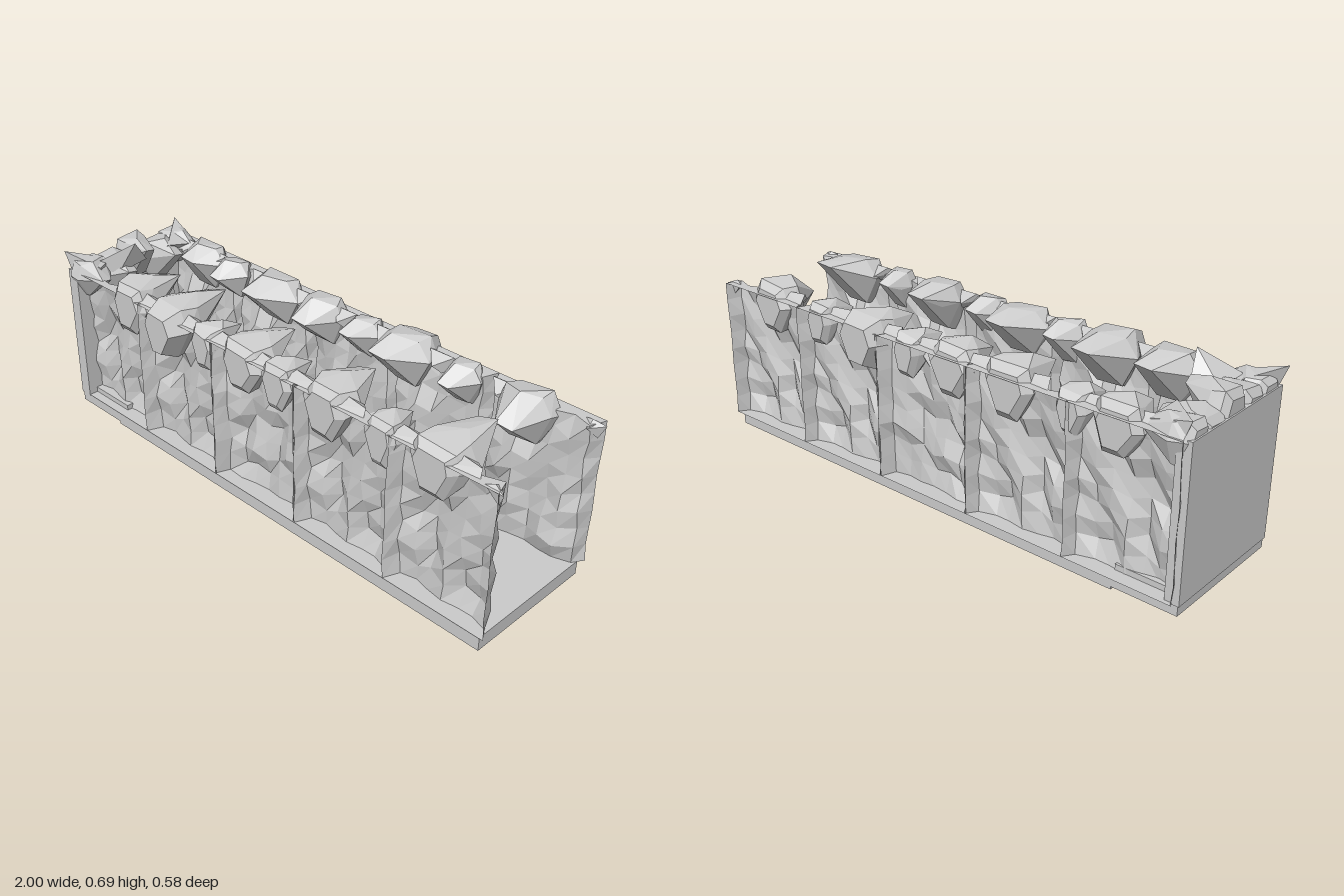
import * as THREE from 'three';
import { ConvexGeometry } from 'three/addons/geometries/ConvexGeometry.js';

const stone = new THREE.MeshStandardMaterial({ color: 0xcccccc, flatShading: true, side: THREE.DoubleSide });
const smooth = new THREE.MeshStandardMaterial({ color: 0xcccccc });

// Repeatable noise in -1..1
const noise = (a, b, c = 0) => {
  const s = Math.sin(a * 127.1 + b * 311.7 + c * 74.7) * 43758.5453;
  return (s - Math.floor(s)) * 2 - 1;
};

function add(parent, name, geometry, x = 0, y = 0, z = 0, material = stone) {
  const mesh = new THREE.Mesh(geometry, material);
  mesh.name = name;
  mesh.position.set(x, y, z);
  parent.add(mesh);
  return mesh;
}

function block(parent, name, x0, x1, y0, y1, z0, z1) {
  return add(parent, name, new THREE.BoxGeometry(x1 - x0, y1 - y0, z1 - z0),
    (x0 + x1) / 2, (y0 + y1) / 2, (z0 + z1) / 2);
}

// Hollow-backed rough panel: the outer ring of the grid folds back to the outside face
function panelGeometry(width, outer, seed, side) {
  const nx = 8, ny = 10, y0 = 0.05, y1 = 0.57;
  const g = new THREE.PlaneGeometry(1, 1, nx, ny);
  const p = g.attributes.position;
  for (let j = 0; j <= ny; j++) {
    for (let i = 0; i <= nx; i++) {
      const edgeX = i === 0 || i === nx, edgeY = j === 0 || j === ny;
      const border = i === 1 || i === nx - 1;
      const u = THREE.MathUtils.clamp((i - 1) / (nx - 2), 0, 1);
      const v = THREE.MathUtils.clamp((j - 1) / (ny - 2), 0, 1);
      const half = width / 2 - (edgeX ? 0 : 0.022);
      let x = (u * 2 - 1) * half;
      let y = y1 + (y0 - y1) * v;
      let z = outer;
      if (edgeX) x += noise(1, j, seed) * 0.004;
      if (!edgeX && !edgeY) {
        x += noise(i, j, seed) * 0.006;
        if (j > 1 && j < ny - 1) y += (i % 2 ? 0.008 : -0.008) + noise(j, i, seed + 2) * 0.004;
        const depth = border || j === 1 ? 0.05 : 0.068;
        z = outer - depth + noise(i + 3, j + 5, seed) * (border ? 0.01 : 0.022);
      }
      p.setXYZ(j * (nx + 1) + i, x, y, z * side);
    }
  }
  return g;
}

// Boulder: small back face, full girth behind the middle and a blunt nose at z = depth
// lift is the height of the nose, bulge is how far the back stands out behind z = 0
function boulderGeometry(width, height, depth, lift, bulge, seed) {
  const girth = [[-0.36, 0.42], [0.3, 0.46], [0.5, 0.12], [0.24, -0.5], [-0.2, -0.5], [-0.5, 0.05]];
  const points = [];
  girth.forEach(([x, y], i) => {
    const jx = 0.06 * noise(i, seed, 1), jy = 0.04 * noise(i, seed, 2);
    points.push(
      [(x + jx) * width * 0.7, (y + jy) * height * 0.7, -bulge],
      [(x + jx) * width, (y + jy) * height, depth * 0.08],
      [(x * 1.12 - jx) * width, (y * 0.92 + 0.04 - jy) * height, depth * 0.34]);
  });
  const lean = 0.12 * noise(seed, 4);
  const nose = [
    [lean - 0.18, lift, 1], [lean + 0.14, lift - 0.06, 0.95], [lean, lift - 0.22, 0.82],
    [lean - 0.06, 0.52, 0.55], [0.3 + lean, 0.12, 0.6]];
  points.push(...nose.map(([x, y, z]) => [x * width, y * height, z * depth]));
  return shardGeometry(points);
}

const shardGeometry = (points) => new ConvexGeometry(points.map((q) => new THREE.Vector3(...q)));

export function createModel() {
  const model = new THREE.Group();
  model.name = 'rockCorridor';

  // Floor slab, and a raised step at the closed end
  block(model, 'floor', -0.75, 0.97, 0, 0.05, -0.247, 0.247);
  block(model, 'endFloor', -0.98, -0.75, 0.01, 0.05, -0.247, 0.247);
  block(model, 'step', -0.95, -0.74, 0.05, 0.07, -0.215, 0.215);

  // Closed end with a pillared doorway
  block(model, 'endWall', -0.985, -0.935, 0.045, 0.57, -0.25, 0.25);
  const doorway = new THREE.Group();
  doorway.name = 'doorway';
  model.add(doorway);
  for (const s of [-1, 1]) {
    add(doorway, 'pillar', new THREE.CylinderGeometry(0.017, 0.017, 0.292, 20), -0.9, 0.216, s * 0.105, smooth);
  }
  block(doorway, 'lintel', -0.94, -0.87, 0.362, 0.416, -0.141, 0.141);

  // Side walls, five rough panels each
  for (const side of [1, -1]) {
    const wall = new THREE.Group();
    wall.name = side > 0 ? 'frontWall' : 'backWall';
    model.add(wall);
    for (let i = 0; i < 5; i++) {
      const outer = side > 0 ? 0.25 : 0.266;
      add(wall, 'roughPanel', panelGeometry(0.39, outer, i === 2 ? 5 : 2, side), -0.772 + i * 0.39);
    }
  }

  // Boulders along the wall tops: x, width, height, inner z, nose lift, back bulge
  const frontRow = [
    [-0.65, 0.18, 0.19, 0.03, 0.4, 0.005], [-0.425, 0.18, 0.20, 0.0, 0.4, 0.045],
    [-0.24, 0.12, 0.16, 0.09, 0.3, 0.005], [-0.06, 0.19, 0.18, 0.02, 0.4, 0.005],
    [0.11, 0.13, 0.16, 0.10, 0.3, 0.005], [0.32, 0.18, 0.19, 0.03, 0.4, 0.005],
    [0.55, 0.12, 0.16, 0.10, 0.3, 0.005], [0.75, 0.19, 0.19, 0.02, 0.5, 0.005],
  ];
  const backRow = [
    [-0.73, 0.18, 0.18, 0.10, 0.3, 0.01], [-0.57, 0.12, 0.15, 0.10, 0.2, 0.01],
    [-0.33, 0.19, 0.19, 0.06, 0.3, 0.01], [-0.10, 0.18, 0.18, 0.07, 0.2, 0.01],
    [0.09, 0.12, 0.15, 0.10, 0.3, 0.01], [0.28, 0.19, 0.19, 0.06, 0.3, 0.045],
    [0.51, 0.12, 0.15, 0.10, 0.2, 0.01], [0.76, 0.18, 0.19, 0.06, 0.1, 0.01],
  ];
  for (const [side, row] of [[1, frontRow], [-1, backRow]]) {
    row.forEach(([x, w, h, inner, lift, bulge], i) => {
      const seed = i + (side > 0 ? 0 : 20);
      const rock = add(model, 'wallBoulder', boulderGeometry(w, h, 0.245 - inner, lift, bulge, seed),
        x, 0.525, side * 0.245);
      if (side > 0) rock.rotation.y = Math.PI;
      // Thin fragment lying on the wall beside each boulder
      const e = x + side * 0.1;
      add(model, 'ledgeStone', shardGeometry([
        [e - 0.06, 0.57, side * 0.24], [e + 0.06, 0.57, side * 0.23], [e - 0.04, 0.595, side * 0.2],
        [e + 0.05, 0.59, side * 0.21], [e, 0.56, side * 0.16], [e + 0.02, 0.53, side * 0.19],
      ]));
    });
  }

  // Boulders over the doorway: z, width, height, y, reach, nose lift
  [[0.19, 0.13, 0.15, 0.54, 0.17, 0.2], [0.1, 0.14, 0.18, 0.52, 0.18, 0.3], [-0.01, 0.13, 0.18, 0.555, 0.17, 0.4],
    [-0.11, 0.14, 0.18, 0.52, 0.18, 0.3], [-0.2, 0.12, 0.15, 0.54, 0.18, 0.2]].forEach(([z, w, h, y, reach, lift], i) => {
    const rock = add(model, 'doorwayBoulder', boulderGeometry(w, h, reach, lift, 0.005, 40 + i), -0.975, y, z);
    rock.rotation.y = Math.PI / 2;
  });

  // Jagged slabs rising at the closed end
  add(model, 'jaggedSlab', shardGeometry([
    [-0.93, 0.58, 0.2], [-0.9, 0.57, 0.06], [-0.78, 0.685, 0.09], [-0.8, 0.60, 0.03], [-0.84, 0.56, 0.13],
  ]));
  add(model, 'jaggedSlab', shardGeometry([
    [-1, 0.635, 0.25], [-0.97, 0.55, 0.24], [-0.85, 0.60, 0.2], [-0.9, 0.6, 0.12], [-0.86, 0.53, 0.18],
  ]));
  add(model, 'jaggedSlab', shardGeometry([
    [-0.98, 0.63, -0.25], [-0.95, 0.55, -0.25], [-0.82, 0.58, -0.22], [-0.84, 0.60, -0.1], [-0.9, 0.53, -0.12],
  ]));
  // Chipped corners at the open end
  for (const s of [1, -1]) {
    add(model, 'cornerChip', shardGeometry([
      [0.93, 0.57, s * 0.24], [1, 0.565, s * 0.245], [0.98, 0.52, s * 0.235], [0.96, 0.58, s * 0.23], [0.96, 0.56, s * 0.2],
    ]));
  }
  return model;
}
